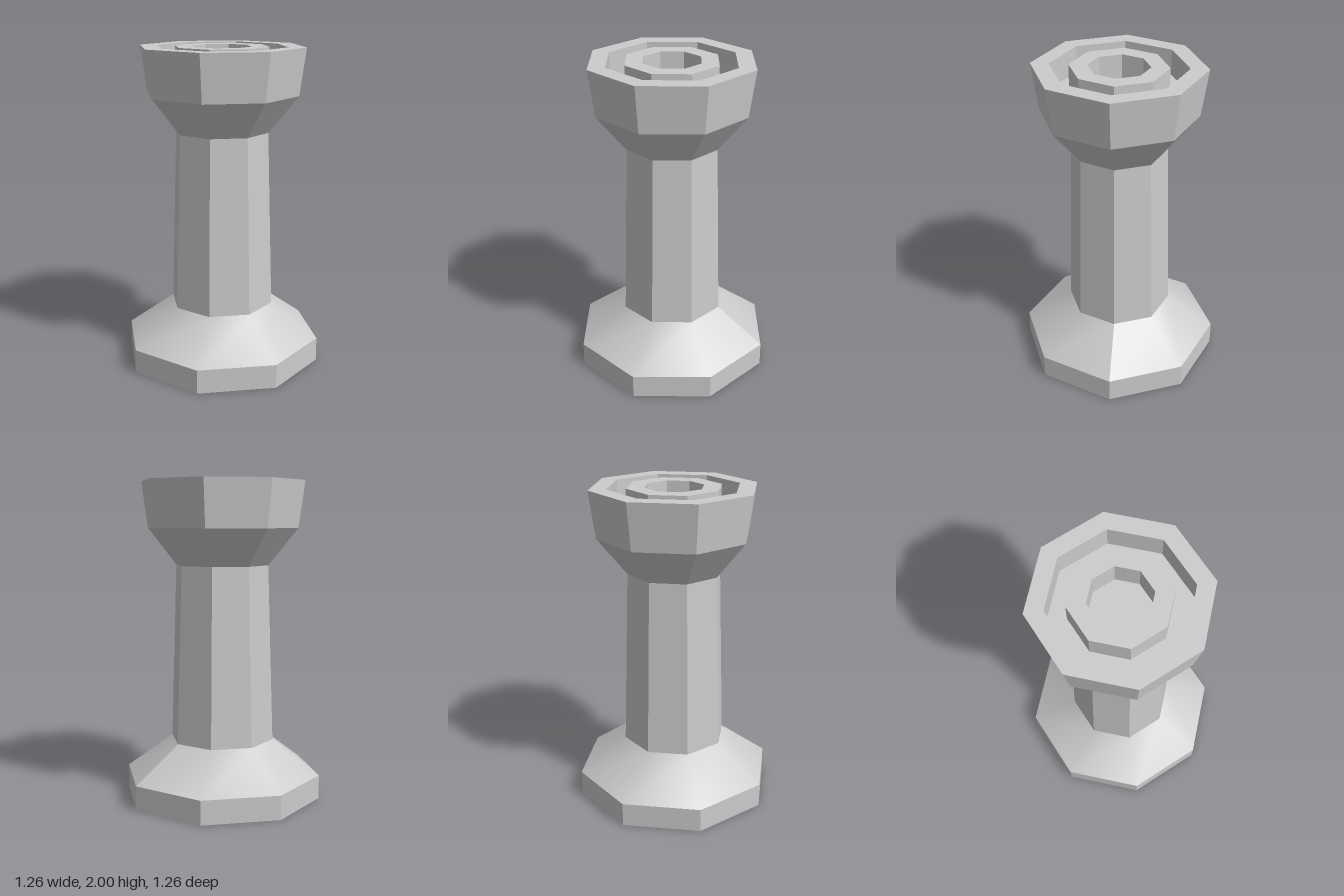
import * as THREE from 'three';

const SIDES = 8;

export function createModel() {
  const model = new THREE.Group();
  model.name = 'rookPiece';
  const stone = new THREE.MeshStandardMaterial({ color: 0xcccccc });
  stone.name = 'grey stone';

  // Faceted eight-sided turned part from [radius, height] points, outside running upward
  function turned(name, profile) {
    const points = profile.map(([r, y]) => new THREE.Vector2(r, y));
    const geometry = new THREE.LatheGeometry(points, SIDES).toNonIndexed();
    geometry.computeVertexNormals();
    add(name, geometry);
  }

  function add(name, geometry) {
    const mesh = new THREE.Mesh(geometry, stone);
    mesh.name = name;
    model.add(mesh);
  }

  // Octagonal foot with closed underside
  turned('foot', [[0, 0], [0.63, 0], [0.63, 0.15]]);

  // Smooth-shaded slope, seam on the +x corner
  const slope = new THREE.CylinderGeometry(0.33, 0.63, 0.22, SIDES, 1, true, Math.PI / 2);
  slope.computeVertexNormals();
  slope.translate(0, 0.26, 0);
  add('footSlope', slope);

  // Tapered shaft
  turned('column', [[0.33, 0.37], [0.295, 1.48]]);

  // Flared head and its outer rim, ending at the sunken channel floor
  turned('head', [
    [0.295, 1.48], [0.48, 1.71], [0.52, 2], [0.41, 2], [0.41, 1.84], [0.295, 1.84],
  ]);

  // Inner ring around the central well
  turned('innerRing', [[0.295, 1.84], [0.295, 2], [0.185, 2], [0.185, 1.84], [0, 1.84]]);

  return model;
}
